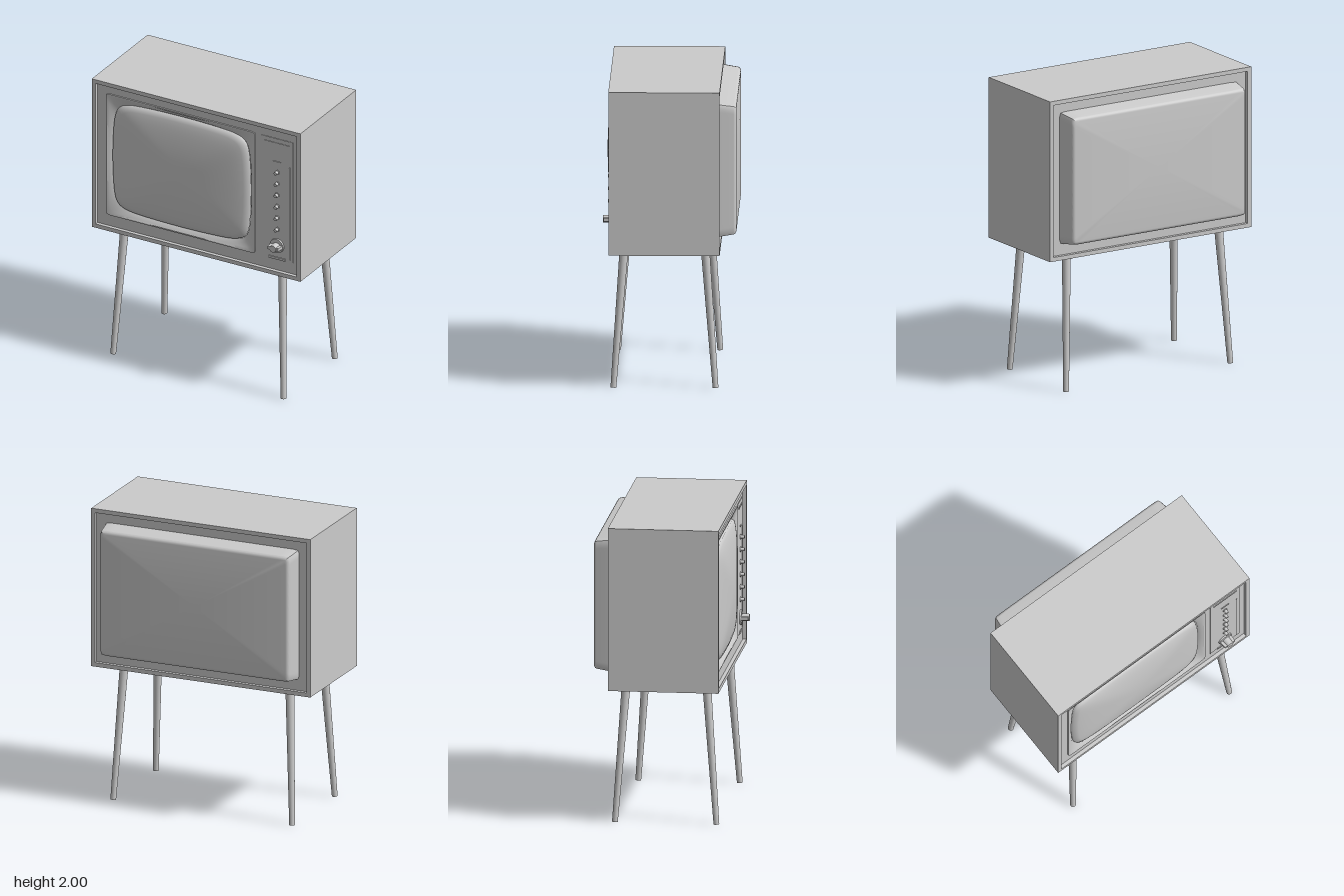
import * as THREE from 'three';
import { toCreasedNormals } from 'three/addons/utils/BufferGeometryUtils.js';

const material = new THREE.MeshStandardMaterial({ color: 0xcccccc });

function part(name, geometry, parent, x = 0, y = 0, z = 0) {
  const mesh = new THREE.Mesh(geometry, material);
  mesh.name = name;
  mesh.position.set(x, y, z);
  parent.add(mesh);
  return mesh;
}

const box = (name, parent, w, h, d, x, y, z) =>
  part(name, new THREE.BoxGeometry(w, h, d), parent, x, y, z);

// Rounded, optionally barrel-shaped outline: half sizes w and h, squareness n, bow b
function outline({ w, h, n = 60, b = 0 }, perSide = 32) {
  const points = [];
  for (let side = 0; side < 4; side++) {
    for (let i = 0; i < perSide; i++) {
      const t = (2 * i) / perSide - 1;
      const [p, q] = [[1, t], [-t, 1], [-1, -t], [t, -1]][side];
      const k = Math.pow(Math.abs(p) ** n + Math.abs(q) ** n, -1 / n);
      const u = p * k, v = q * k;
      points.push(new THREE.Vector2(w * u * (1 - b * v * v), h * v * (1 - b * u * u)));
    }
  }
  return points;
}

// Surface through a list of outlines, each at its own z
function loft(rings, crease = 0.5) {
  const positions = [], index = [];
  let count = 0;
  rings.forEach((ring, r) => {
    const points = outline(ring);
    count = points.length;
    points.forEach((p, j) => {
      positions.push(p.x, p.y, ring.z);
      if (r === 0) return;
      const a = (r - 1) * count + j, b = (r - 1) * count + (j + 1) % count;
      index.push(a, b, b + count, a, b + count, a + count);
    });
  });
  const geometry = new THREE.BufferGeometry();
  geometry.setAttribute('position', new THREE.Float32BufferAttribute(positions, 3));
  geometry.setIndex(index);
  return toCreasedNormals(geometry, crease);
}

function rectangle(w, h) {
  return [[-w, -h], [w, -h], [w, h], [-w, h]].map(([x, y]) => new THREE.Vector2(x, y));
}

// Plate of given depth with one opening
function plate(outer, hole, depth) {
  const shape = new THREE.Shape(outer);
  shape.holes.push(new THREE.Path(hole));
  return new THREE.ExtrudeGeometry(shape, { depth, bevelEnabled: false });
}

function addCabinet(tv) {
  const cabinet = new THREE.Group();
  cabinet.name = 'cabinet';
  tv.add(cabinet);
  part('shell', plate(rectangle(0.79, 0.545), rectangle(0.762, 0.517), 0.73), cabinet, 0, 1.455, -0.33);

  // Front panel with the opening for the screen surround
  const hole = outline({ w: 0.565, h: 0.445 }).map((p) => p.add(new THREE.Vector2(-0.128, 0.01)));
  part('frontPanel', plate(rectangle(0.762, 0.517), hole, 0.02), cabinet, 0, 1.455, 0.355);

  // Back panel with a tapered, round-edged cover
  box('backPanel', cabinet, 1.524, 1.034, 0.02, 0, 1.455, -0.295);
  const rings = [{ w: 0.7, h: 0.45, z: 0.295 }];
  for (let i = 0; i <= 6; i++) {
    const a = (i / 6) * Math.PI / 2, r = 0.025;
    rings.push({
      w: 0.683 - r * (1 - Math.cos(a)),
      h: 0.433 - r * (1 - Math.cos(a)),
      z: 0.412 + r * Math.sin(a),
    });
  }
  rings.push({ w: 0, h: 0, z: 0.437 });
  part('backCover', loft(rings), cabinet, 0, 1.46, 0).rotation.y = Math.PI;
}

function addScreen(tv) {
  // Surround: raised lip, then a scoop down to the glass
  const glass = { w: 0.523, h: 0.405, n: 10, b: 0.05 };
  part('screenSurround', loft([
    { w: 0.565, h: 0.445, z: 0.37 },
    { w: 0.565, h: 0.445, z: 0.384 },
    { w: 0.556, h: 0.436, z: 0.384 },
    { w: 0.545, h: 0.427, n: 24, b: 0.015, z: 0.377 },
    { w: 0.532, h: 0.414, n: 14, b: 0.035, z: 0.369 },
    { ...glass, z: 0.357 },
  ]), tv, -0.128, 1.465, 0);

  // Bulging glass
  const rings = [{ ...glass, z: 0.355 }];
  for (let i = 0; i <= 14; i++) {
    const s = 0.985 * (1 - i / 14);
    rings.push({
      w: glass.w * s, h: glass.h * s, n: 2 + 8 * s, b: 0.05 * s,
      z: 0.425 - 0.043 * s * s - 0.01 * s ** 12,
    });
  }
  part('screen', loft(rings, 1.2), tv, -0.131, 1.465, 0);
}

function addControls(tv) {
  const controls = new THREE.Group();
  controls.name = 'controls';
  controls.position.set(0.602, 0, 0.375);
  tv.add(controls);

  const cylinder = (name, r1, r2, depth, y, z) => {
    const geometry = new THREE.CylinderGeometry(r1, r2, depth, 24).rotateX(Math.PI / 2);
    return part(name, geometry, controls, 0, y, z);
  };

  box('controlPlate', controls, 0.24, 0.885, 0.008, 0, 1.463, 0);
  box('upperTrim', controls, 0.19, 0.012, 0.008, 0, 1.87, 0.004);
  box('middleTrim', controls, 0.06, 0.008, 0.01, 0, 1.735, 0.004);
  box('sideTrim', controls, 0.008, 0.68, 0.008, 0.095, 1.375, 0.004);
  box('lowerTrim', controls, 0.125, 0.016, 0.012, 0, 1.027, 0.004);

  // Column of push buttons
  for (let i = 0; i < 6; i++) {
    cylinder('buttonCollar', 0.017, 0.017, 0.006, 1.66 - i * 0.084, 0.006);
    cylinder('button', 0.011, 0.013, 0.034, 1.66 - i * 0.084, 0.015);
  }

  // Rotary knob with a grip bar
  cylinder('dial', 0.05, 0.052, 0.014, 1.12, 0.008);
  cylinder('knob', 0.024, 0.027, 0.065, 1.12, 0.0325);
  const grip = box('knobGrip', controls, 0.094, 0.022, 0.06, 0, 1.12, 0.03);
  const p = grip.geometry.attributes.position;
  for (let i = 0; i < p.count; i++) if (p.getZ(i) > 0) p.setX(i, p.getX(i) * 0.85);
}

function addLegs(tv) {
  const up = new THREE.Vector3(0, 1, 0);
  const splay = (side, end) => new THREE.Vector3(-0.048 * side, 0.92, -0.069 * end).normalize();
  for (const side of [-1, 1]) {
    for (const end of [-1, 1]) {
      const leg = new THREE.Group();
      leg.name = (end > 0 ? 'front' : 'back') + (side > 0 ? 'Left' : 'Right') + 'Leg';
      leg.position.set(0.645 * side, 0.002, 0.035 + 0.335 * end);
      leg.quaternion.setFromUnitVectors(up, splay(side, end));
      part('shaft', new THREE.CylinderGeometry(0.029, 0.019, 0.92, 24), leg, 0, 0.46, 0);
      part('collar', new THREE.CylinderGeometry(0.033, 0.032, 0.025, 24), leg, 0, 0.895, 0);
      tv.add(leg);
      part('legMount', new THREE.CylinderGeometry(0.042, 0.042, 0.008, 24), tv,
        0.597 * side, 0.908, 0.035 + 0.267 * end);
    }
  }
}

export function createModel() {
  const tv = new THREE.Group();
  tv.name = 'television';
  addCabinet(tv);
  addScreen(tv);
  addControls(tv);
  addLegs(tv);
  return tv;
}
